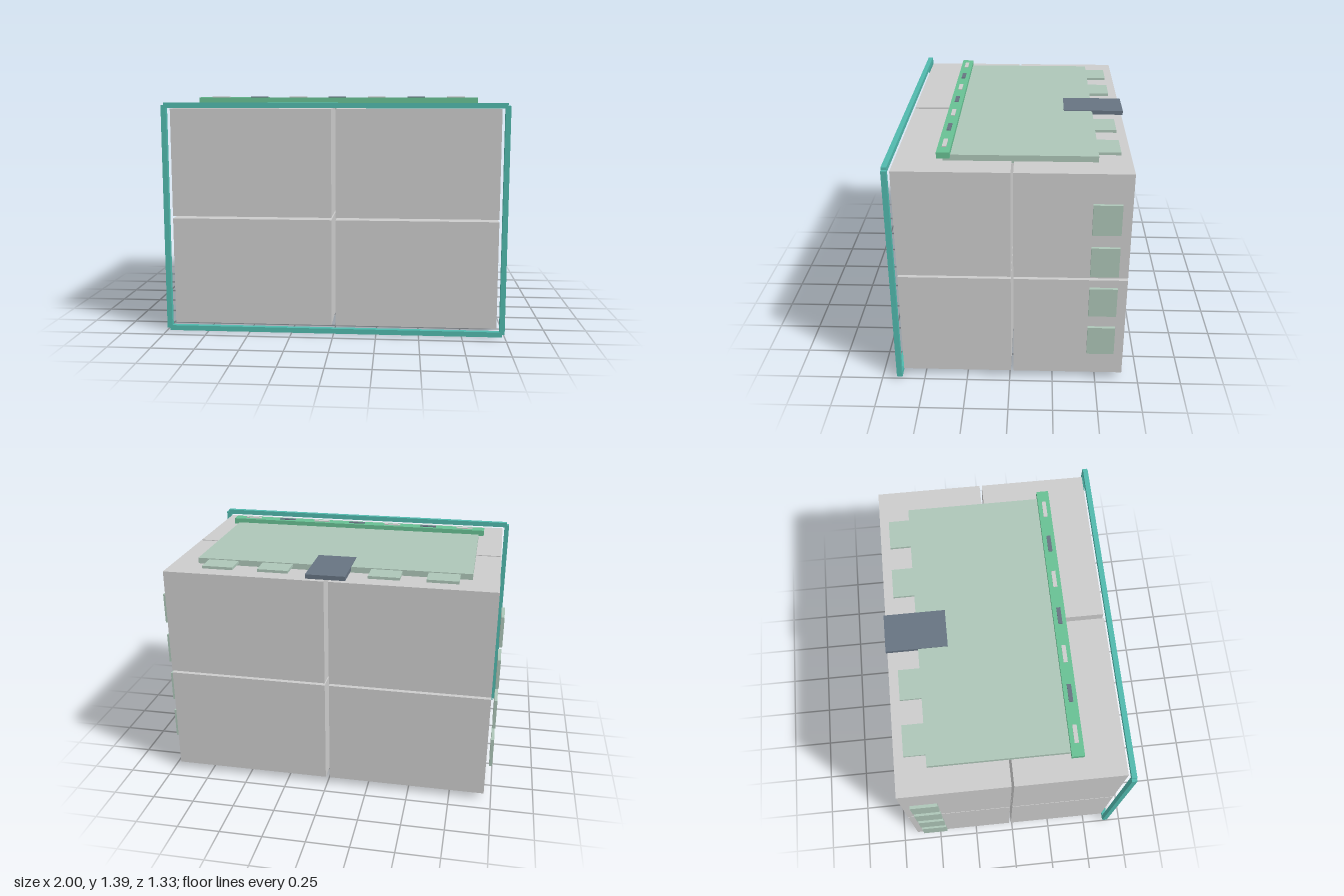
import * as THREE from 'three';

const mat = (color) => new THREE.MeshStandardMaterial({ color });

export function createModel() {
  const root = new THREE.Group();
  root.name = 'panelledCrate';
  const grey = mat(0xcccccc);
  const sage = mat(0xacc5b7);
  const teal = mat(0x50b8ac);
  const green = mat(0x68c093);
  const slate = mat(0x667381);

  // Box given by its extents along x, y and z
  const block = (name, material, [x0, x1], [y0, y1], [z0, z1]) => {
    const mesh = new THREE.Mesh(new THREE.BoxGeometry(x1 - x0, y1 - y0, z1 - z0), material);
    mesh.position.set((x0 + x1) / 2, (y0 + y1) / 2, (z0 + z1) / 2);
    mesh.name = name;
    root.add(mesh);
  };

  // Eight body blocks separated by narrow gaps
  for (const x of [[-0.957, -0.015], [0.01, 0.956]])
    for (const y of [[0.04, 0.674], [0.688, 1.321]])
      for (const z of [[-0.656, -0.021], [-0.007, 0.626]])
        block('bodyBlock', grey, x, y, z);

  // Rectangular frame standing in front of the body
  const frameZ = [0.634, 0.664];
  for (const y of [0, 1.326]) block('frameRail', teal, [-0.984, 0.984], [y, y + 0.03], frameZ);
  for (const x of [-1, 0.97]) block('framePost', teal, [x, x + 0.03], [0.016, 1.341], frameZ);

  // Top plate with its front bar
  block('topPlate', sage, [-0.805, 0.805], [1.31, 1.355], [-0.475, 0.364]);
  block('frontBar', green, [-0.838, 0.838], [1.346, 1.382], [0.322, 0.394]);

  // Alternating pale and dark inlays along the bar
  for (let i = -3; i <= 3; i++) {
    const x = i * 0.237;
    block('barInlay', i % 2 ? grey : slate, [x - 0.052, x + 0.052], [1.376, 1.387], [0.346, 0.37]);
  }

  // Tabs at the rear of the top plate and on both sides
  const tabZ = [-0.599, -0.443];
  for (const x of [-0.647, -0.32, 0.32, 0.647])
    block('topTab', sage, [x - 0.09, x + 0.09], [1.334, 1.35], tabZ);
  for (const x of [-0.985, 0.985])
    for (let i = 0; i < 4; i++) {
      const y = 0.29 + i * 0.259;
      block('sideTab', sage, [x - 0.009, x + 0.009], [y - 0.09, y + 0.09], tabZ);
    }

  // Dark latch over the rear edge
  block('rearLatch', slate, [-0.114, 0.114], [1.334, 1.359], [-0.662, -0.303]);

  return root;
}
